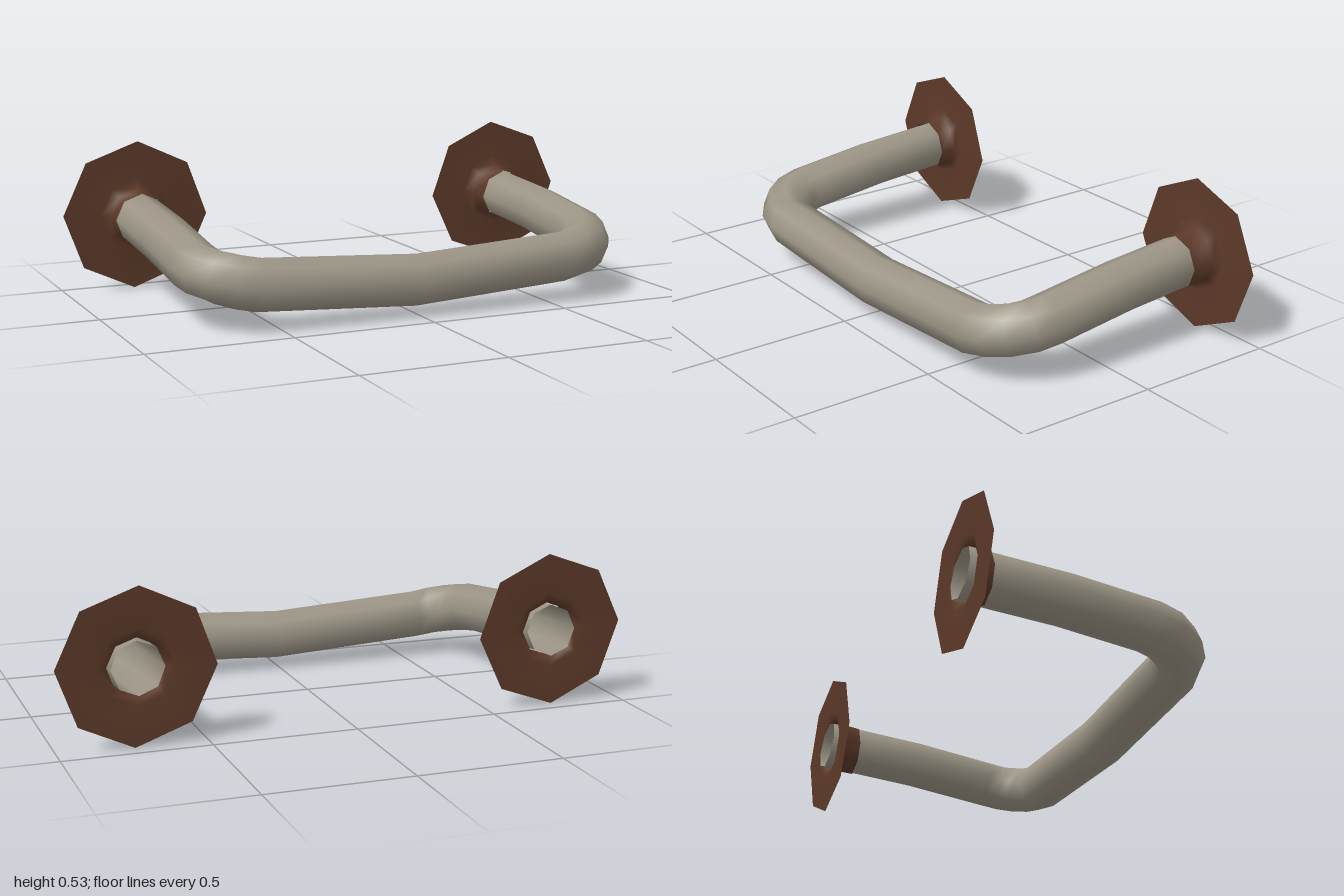
import * as THREE from 'three';

const SIDES = 8;

// Sweep an open-ended tube along a list of points, keeping each ring upright.
function sweepTube(path, radius) {
  const pos = [], index = [];
  path.forEach((p, i) => {
    const before = path[Math.max(i - 1, 0)], after = path[Math.min(i + 1, path.length - 1)];
    const inDir = p.clone().sub(before).normalize();
    const outDir = after.clone().sub(p).normalize();
    const tangent = inDir.add(outDir).normalize();
    const side = new THREE.Vector3(0, 1, 0).cross(tangent).normalize();
    const up = tangent.clone().cross(side);
    for (let j = 0; j < SIDES; j++) {
      const a = (j / SIDES) * Math.PI * 2;
      const v = p.clone()
        .addScaledVector(side, Math.cos(a) * radius)
        .addScaledVector(up, Math.sin(a) * radius);
      pos.push(v.x, v.y, v.z);
      if (i < path.length - 1) {
        const k = i * SIDES + j, n = i * SIDES + (j + 1) % SIDES;
        index.push(k, n, k + SIDES, n, n + SIDES, k + SIDES);
      }
    }
  });
  const g = new THREE.BufferGeometry();
  g.setAttribute('position', new THREE.Float32BufferAttribute(pos, 3));
  g.setIndex(index);
  g.computeVertexNormals();
  return g;
}

// Half of the bar: sagging middle, rounded corner, leg rising to the wall.
function halfPath() {
  const pts = [];
  for (let i = 0; i <= 4; i++) {
    const t = i / 4, a = t * Math.PI / 2;
    pts.push(new THREE.Vector3(
      0.57 + 0.165 * Math.sin(a), 0.155 + 0.05 * t, 0.195 + 0.165 * Math.cos(a)));
  }
  pts.push(new THREE.Vector3(0.735, 0.243, -0.1), new THREE.Vector3(0.732, 0.27, -0.454));
  return pts;
}

// Sleeve that flares into a flat eight-sided wall plate.
function flangeGeometry(sleeveFront, twist) {
  const profile = [[0.267, -0.446], [0.13, -0.445], [0.097, -0.43], [0.094, sleeveFront]]
    .map(([r, z]) => new THREE.Vector2(r, z));
  const g = new THREE.LatheGeometry(profile, SIDES);
  g.rotateX(Math.PI / 2);
  g.rotateZ(twist);
  // lean the sleeve along the leg while the plate stays upright
  const p = g.attributes.position;
  for (let i = 0; i < p.count; i++) p.setY(i, p.getY(i) - (p.getZ(i) + 0.446) * 0.1);
  return g;
}

export function createModel() {
  const model = new THREE.Group();
  model.name = 'wallHandle';

  const metal = new THREE.MeshStandardMaterial({ color: 0x9c9586, side: THREE.DoubleSide });
  metal.name = 'warm grey metal';
  const rust = new THREE.MeshStandardMaterial({ color: 0x5c3929, side: THREE.DoubleSide });
  rust.name = 'rust brown';

  // bent pipe
  const half = halfPath();
  const mirrored = half.map(p => new THREE.Vector3(-p.x, p.y, p.z)).reverse();
  const path = [...mirrored, new THREE.Vector3(0, 0.122, 0.36), ...half];
  const pipe = new THREE.Mesh(sweepTube(path, 0.09), metal);
  pipe.name = 'handlePipe';
  model.add(pipe);

  // wall flanges
  for (const [name, s, front] of [['leftFlange', 1, -0.35], ['rightFlange', -1, -0.375]]) {
    const flange = new THREE.Mesh(flangeGeometry(front, s * 0.045), rust);
    flange.name = name;
    flange.position.set(s * 0.733, 0.271, 0);
    model.add(flange);
  }
  return model;
}
